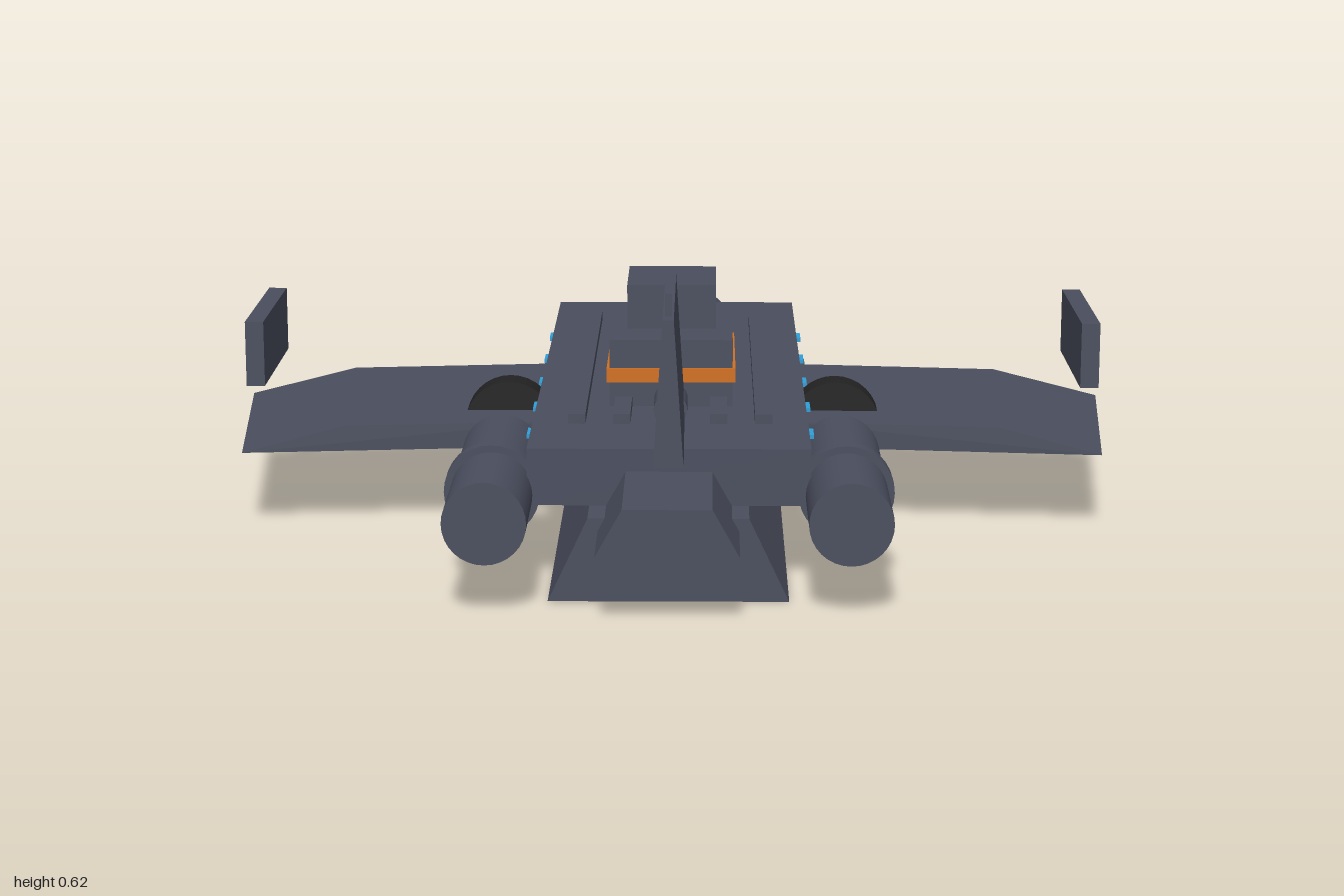
import * as THREE from 'three';
import { ConvexGeometry } from 'three/addons/geometries/ConvexGeometry.js';

const mat = (name, color) => {
  const m = new THREE.MeshStandardMaterial({ color });
  m.name = name;
  return m;
};

export function createModel() {
  const model = new THREE.Group();
  model.name = 'spacecraft';
  const hullGrey = mat('hull grey', 0x4a4e5e);
  const darkRubber = mat('near black', 0x222222);
  const orange = mat('orange', 0xd2701e);
  const blue = mat('light blue', 0x2f9fd8);

  const add = (name, geometry, material = hullGrey) => {
    const mesh = new THREE.Mesh(geometry, material);
    mesh.name = name;
    model.add(mesh);
    return mesh;
  };

  // Box given by its limits on each axis
  const box = (name, [x0, x1], [y0, y1], [z0, z1], material) => {
    const mesh = add(name, new THREE.BoxGeometry(x1 - x0, y1 - y0, z1 - z0), material);
    mesh.position.set((x0 + x1) / 2, (y0 + y1) / 2, (z0 + z1) / 2);
    return mesh;
  };

  // Prism along z with a symmetric trapezoid section
  const trapezoid = (name, bottom, top, y0, y1, z0, z1) => {
    const shape = new THREE.Shape([
      new THREE.Vector2(-bottom, y0), new THREE.Vector2(bottom, y0),
      new THREE.Vector2(top, y1), new THREE.Vector2(-top, y1),
    ]);
    const geo = new THREE.ExtrudeGeometry(shape, { depth: z1 - z0, bevelEnabled: false });
    geo.translate(0, 0, z0);
    return add(name, geo);
  };

  // Cylinder lying along z
  const tube = (name, r, x, y, z0, z1, material) => {
    const geo = new THREE.CylinderGeometry(r, r, z1 - z0, 32);
    geo.rotateX(Math.PI / 2);
    geo.translate(x, y, (z0 + z1) / 2);
    return add(name, geo, material);
  };

  // Fuselage
  trapezoid('lowerHull', 0.24, 0.16, 0, 0.17, -0.86, 0.81);
  box('deck', [-0.285, 0.285], [0.17, 0.287], [-0.765, 0.71]);
  trapezoid('nose', 0.14, 0.087, 0.145, 0.24, 0.5, 1.0);
  trapezoid('tail', 0.19, 0.035, 0.17, 0.31, -1.0, -0.48);
  tube('spinePipe', 0.035, 0, 0.305, -0.5, 0.455);

  // Raised deck strips
  for (const x of [-0.193, -0.1, 0.1, 0.193]) {
    box('deckStrip', [x - 0.018, x + 0.018], [0.28, 0.308], [-0.55, 0.5]);
  }

  // Bridge tower with its painted band
  box('bridgeBase', [-0.13, 0.13], [0.28, 0.43], [-0.01, 0.342]);
  box('bridgeBand', [-0.136, 0.136], [0.34, 0.37], [-0.016, 0.348], orange);
  box('bridgeCabin', [-0.095, 0.095], [0.43, 0.525], [0.01, 0.225]);

  // Upright fin and antenna
  trapezoid('fin', 0.03, 0.011, 0.28, 0.575, 0.36, 0.835);
  box('antenna', [-0.007, 0.007], [0.57, 0.62], [0.78, 0.795]);

  for (const s of [1, -1]) {
    const span = (a, b) => (s > 0 ? [a, b] : [-b, -a]);

    // Wing: thick from root to crease, then thinning to a sharp tip
    const wing = [
      [0.26, 0.17, -0.348], [0.26, 0.17, 0.228], [0.26, 0.225, -0.348], [0.26, 0.225, 0.228],
      [0.74, 0.225, -0.296], [0.7, 0.225, 0.27],
      [0.975, 0.17, -0.27], [0.92, 0.17, 0.293],
    ].map(([x, y, z]) => new THREE.Vector3(s * x, y, z));
    add('wing', new ConvexGeometry(wing));

    // Raised plate above the wing tip, with a lamp at its back
    box('tipPlate', span(0.885, 0.925), [0.288, 0.43], [-0.215, 0.165]);
    box('tipLamp', span(0.89, 0.92), [0.372, 0.4], [-0.235, -0.212], orange);

    // Engine pod with collar
    tube('enginePod', 0.083, s * 0.357, 0.19, 0.36, 0.925);
    tube('engineCollar', 0.097, s * 0.357, 0.19, 0.648, 0.685);

    // Dark disc set through the wing
    tube('wingDisc', 0.098, s * 0.357, 0.19, 0.053, 0.121, darkRubber);

    // Side block under the deck edge
    box('sideBlock', span(0.22, 0.306), [0.147, 0.213], [-0.452, 0.025]);

    // Row of side lights
    for (let i = 0; i < 5; i++) {
      const z = 0.45 - i * 0.2385;
      box('sideLight', span(0.284, 0.298), [0.25, 0.259], [z - 0.028, z + 0.028], blue);
    }
  }
  return model;
}
